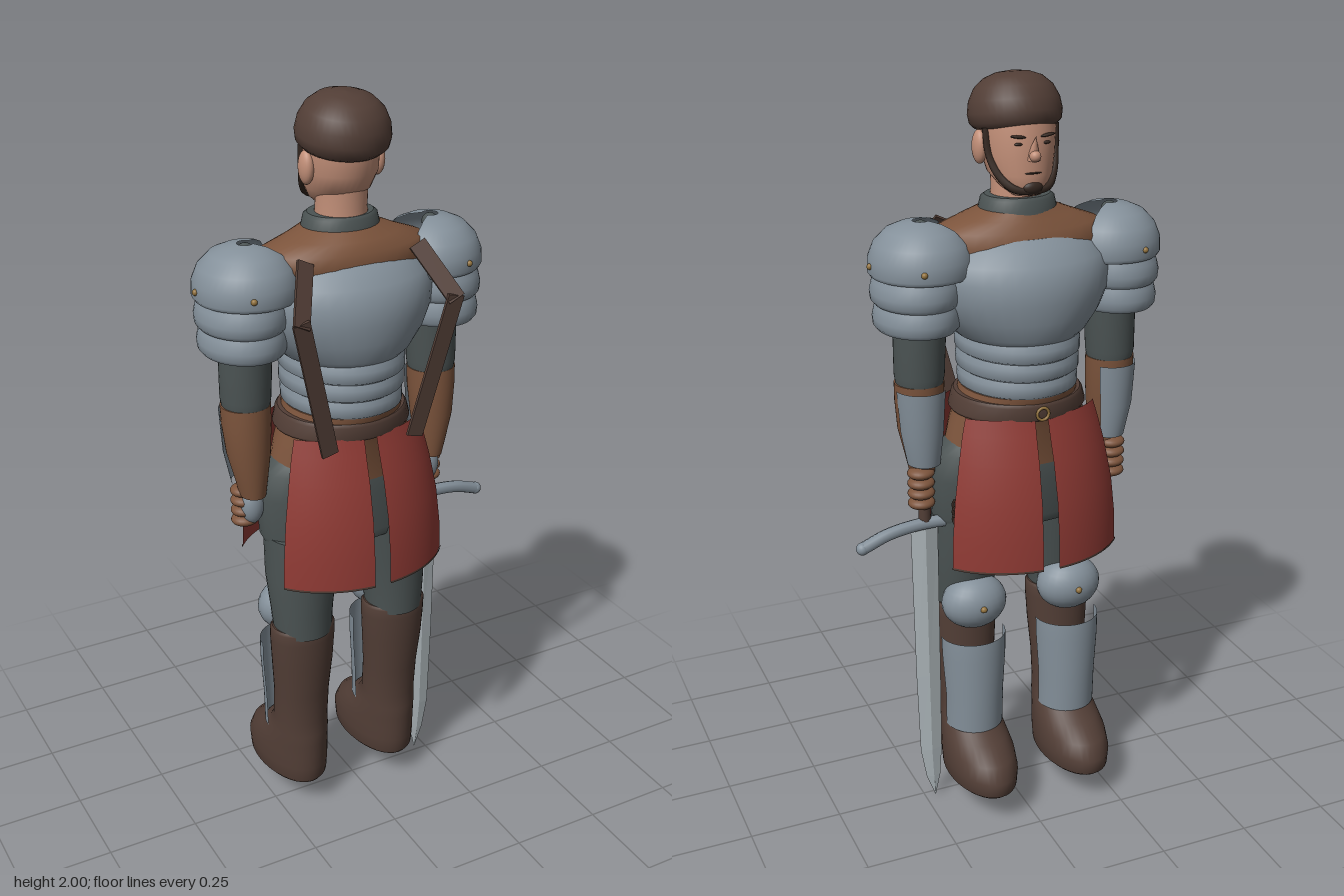
import * as THREE from 'three';

const mat = (name, color, side = THREE.FrontSide) => {
  const m = new THREE.MeshStandardMaterial({ color, side });
  m.name = name;
  return m;
};

export function createModel() {
  const D = THREE.DoubleSide;
  const steel = mat('steel', 0x84909a, D), red = mat('red cloth', 0x8f3a34, D);
  const darkLeather = mat('dark leather', 0x523e36, D), leather = mat('leather', 0x7c543c);
  const cloth = mat('dark cloth', 0x4b5353), skin = mat('skin', 0xc28f78);
  const blade = mat('blade', 0xb2bbbf), brass = mat('brass', 0x94743f), hair = mat('hair', 0x33261f);

  const root = new THREE.Group();
  root.name = 'armouredKnight';
  const body = new THREE.Group();
  body.name = 'body';
  body.position.x = -0.034;
  root.add(body);

  const add = (name, geo, m, pos = [0, 0, 0], scale = [1, 1, 1], rot = [0, 0, 0]) => {
    const mesh = new THREE.Mesh(geo, m);
    mesh.name = name;
    mesh.position.set(...pos);
    mesh.scale.set(...scale);
    mesh.rotation.set(...rot);
    body.add(mesh);
    return mesh;
  };

  // Skin elliptical rings [y, rx, rz, cx, cz], listed upwards; angle 0 faces the front (-z)
  const loft = (rings, { a0 = 0, a1 = Math.PI * 2, seg = 36, s = 1, flat = false } = {}) => {
    const closed = a1 - a0 > 6.28, n = closed ? seg : seg + 1;
    const [b0, b1] = s < 0 && !closed ? [-a1, -a0] : [a0, a1];
    const p = [], idx = [];
    const ring = ([y, rx, rz, cx = 0, cz = 0]) => {
      for (let i = 0; i < n; i++) {
        const a = b0 + (b1 - b0) * i / seg;
        p.push(s * cx + rx * Math.sin(a), y, cz - rz * Math.cos(a));
      }
    };
    rings.forEach(ring);
    for (let r = 0; r < rings.length - 1; r++) for (let i = 0; i < seg; i++) {
      const j = (i + 1) % n, a = r * n + i, b = r * n + j;
      idx.push(a, a + n, b, b, a + n, b + n);
    }
    if (closed) [rings[0], rings[rings.length - 1]].forEach((q, k) => {
      const o = p.length / 3;
      ring(q);
      p.push(s * (q[3] || 0), q[0], q[4] || 0);
      for (let i = 0; i < n; i++) {
        const j = (i + 1) % n;
        if (k) idx.push(o + n, o + j, o + i); else idx.push(o + n, o + i, o + j);
      }
    });
    let g = new THREE.BufferGeometry();
    g.setAttribute('position', new THREE.Float32BufferAttribute(p, 3));
    g.setIndex(idx);
    if (flat) g = g.toNonIndexed();
    g.computeVertexNormals();
    return g;
  };
  const ball = (r = 1) => new THREE.SphereGeometry(r, 24, 16);
  const tube = (pts, r) => new THREE.TubeGeometry(
    new THREE.CatmullRomCurve3(pts.map(q => new THREE.Vector3(...q))), 24, r, 8);

  // Head
  add('head', loft([[1.715, .035, .035, 0, -.052], [1.735, .06, .062, 0, -.038], [1.765, .08, .086, 0, -.014],
    [1.81, .09, .1, 0, 0], [1.87, .095, .1, 0, .003], [1.93, .088, .09, 0, .008]]), skin);
  add('neck', loft([[1.66, .07, .07, 0, .005], [1.72, .064, .064, 0, .005], [1.79, .064, .066, 0, .01]]), skin);
  add('collar', loft([[1.655, .105, .09], [1.675, .1, .085], [1.7, .094, .08], [1.707, .084, .072]]), cloth);
  // Cap with a rounded underside, tipped backwards
  const cap = new THREE.LatheGeometry([[.07, -.022], [.1, -.016], [.113, -.003], [.117, .02], [.112, .05], [.097, .08],
    [.072, .102], [.04, .114], [0, .118]].map(q => new THREE.Vector2(...q)), 40);
  add('cap', cap, darkLeather, [0, 1.882, .013], [1, 1, 1], [.17, 0, 0]);
  add('nose', new THREE.ConeGeometry(.018, .06, 12), skin, [0, 1.835, -.102], [1, 1, 1], [-.3, 0, 0]);
  add('noseTip', ball(.014), skin, [0, 1.815, -.107]);
  add('mouth', ball(), hair, [0, 1.773, -.096], [.022, .003, .006]);
  add('chinBeard', ball(), hair, [0, 1.737, -.092], [.026, .017, .014]);

  // Torso
  add('shoulders', loft([[1.45, .17, .13], [1.55, .215, .13], [1.6, .24, .128, 0, .005], [1.63, .218, .118, 0, .008],
    [1.655, .15, .102, 0, .008], [1.68, .09, .08]]), leather);
  add('breastplate', loft([[1.36, .16, .17], [1.375, .176, .184], [1.42, .212, .195], [1.47, .235, .2], [1.52, .24, .197],
    [1.56, .23, .177], [1.595, .195, .146], [1.615, .165, .118]]), steel);
  [[1.31, .158, .18], [1.262, .156, .175], [1.215, .153, .17]].forEach(([y, rx, rz]) =>
    add('waistPlate', loft([[y, rx - .012, rz - .012], [y + .008, rx, rz], [y + .035, rx, rz], [y + .06, rx - .012, rz - .012]]), steel));
  add('belly', loft([[1.02, .21, .122], [1.12, .186, .128], [1.2, .155, .158], [1.218, .15, .162]]), leather);
  add('belt', loft([[1.155, .178, .158], [1.162, .182, .162], [1.195, .172, .164], [1.203, .166, .158]]), darkLeather);
  add('buckle', new THREE.TorusGeometry(.016, .004, 8, 16), brass, [0, 1.178, -.166]);
  add('tunic', loft([[.845, .226, .112, 0, .008], [.87, .238, .12, 0, .006], [.98, .243, .122], [1.05, .228, .12], [1.085, .19, .105]]), cloth);
  // Cord coil hanging at the left hip
  for (let i = 0; i < 3; i++)
    add('cordCoil', new THREE.TorusGeometry(.017, .004, 8, 16), hair, [.2, .885 + i * .02, -.085], [1, 1, 1], [0, Math.PI / 2 + .6, 0]);

  // Skirt panels: two at the front, two at the back
  const skirt = [[.77, .28, .23], [.85, .277, .227], [.95, .266, .216], [1.05, .246, .193], [1.12, .228, .17], [1.165, .214, .157]];
  for (const turn of [0, Math.PI]) for (const s of [1, -1]) {
    const mid = turn + s * .535, arc = { a0: mid - .455, a1: mid + .455, seg: 16 };
    add('skirtPanel', loft(skirt, arc), red);
    add('skirtHem', loft([[.768, .282, .232], [.774, .282, .232]], arc), darkLeather);
  }

  for (const s of [1, -1]) {
    // Face halves: eyes, brows, ears, chin strap
    add('eye', ball(), hair, [s * .036, 1.843, -.09], [.011, .004, .005]);
    add('brow', ball(), hair, [s * .038, 1.861, -.092], [.021, .004, .007], [0, 0, s * .12]);
    add('ear', ball(), skin, [s * .096, 1.825, .01], [.018, .042, .026]);
    add('chinStrap', tube([[s * .092, 1.875, -.02], [s * .087, 1.81, -.03], [s * .073, 1.765, -.055],
      [s * .045, 1.735, -.083], [0, 1.727, -.092]], .01), hair);

    // Back strap of two flat lengths
    const pts = [[.155, 1.625, .115], [.21, 1.51, .203], [.122, 1.15, .17]];
    for (let i = 0; i < 2; i++) {
      const a = new THREE.Vector3(...pts[i]), b = new THREE.Vector3(...pts[i + 1]);
      a.x *= s; b.x *= s;
      const m = add('backStrap', new THREE.BoxGeometry(.045, .008, a.distanceTo(b) + .012), darkLeather);
      m.position.copy(a).add(b).multiplyScalar(.5);
      const z = b.clone().sub(a).normalize();
      const y = new THREE.Vector3(0, 0, 1).addScaledVector(z, -z.z).normalize();
      const x = new THREE.Vector3().crossVectors(y, z);
      m.quaternion.setFromRotationMatrix(new THREE.Matrix4().makeBasis(x, y, z));
    }

    // Pauldron: dome open towards the neck, two bands below
    const open = { a0: -Math.PI / 2 + .7, a1: Math.PI * 1.5 - .7, s };
    add('pauldronDome', loft([[1.53, .126, .13, .256], [1.54, .133, .136, .256], [1.575, .131, .135, .256], [1.61, .117, .12, .256],
      [1.64, .088, .09, .256], [1.655, .054, .056, .256], [1.661, .02, .02, .256]], open), steel);
    add('shoulderPeg', ball(.021), cloth, [s * .256, 1.641, 0]);
    [[1.46, .111, .13], [1.395, .106, .126]].forEach(([y, rx, rz]) =>
      add('pauldronBand', loft([[y, rx - .008, rz - .008, .272], [y + .01, rx, rz, .272], [y + .03, rx + .002, rz + .002, .272],
        [y + .055, rx - .002, rz - .002, .27], [y + .08, rx - .014, rz - .014, .268]], { s }), steel));
    [[.388, 0], [.295, .129], [.295, -.129]].forEach(([x, z]) => add('rivet', ball(.008), brass, [s * x, 1.56, z]));

    // Arm
    add('upperArm', loft([[1.245, .06, .063, .268], [1.27, .064, .067, .268], [1.35, .066, .068, .266], [1.56, .07, .075, .26]], { s }), cloth);
    add('forearm', loft([[1.0, .033, .04, .262, .012], [1.04, .04, .046, .264, .012], [1.12, .056, .058, .268, .008],
      [1.2, .063, .064, .269, .002], [1.25, .064, .064, .269]], { s }), leather);
    add('vambrace', loft([[1.03, .044, .05, .264, -.006], [1.12, .058, .061, .268, -.009], [1.235, .066, .068, .268, -.007]],
      { a0: -.9, a1: 1.5, seg: 20, s }), steel);
    add('palm', ball(), steel, [s * .262, .965, .008], [.03, .05, .026]);
    for (let i = 0; i < 4; i++)
      add('finger', ball(), leather, [s * .275, .92 + i * .028, -.014], [.036, .017, .034]);

    // Leg
    add('thigh', loft([[.58, .078, .078, .14, .04], [.65, .084, .083, .14, .036], [.75, .095, .098, .136, .026],
      [.87, .104, .11, .125, .02]], { s }), cloth);
    add('boot', loft([[.09, .082, .15, .14, -.065], [.1, .091, .16, .14, -.067], [.14, .094, .163, .14, -.067], [.18, .092, .15, .14, -.054],
      [.215, .086, .122, .14, -.026], [.25, .079, .092, .14, .004], [.29, .075, .073, .14, .018], [.38, .077, .07, .14, .026],
      [.48, .085, .074, .14, .034], [.56, .09, .075, .14, .037], [.59, .09, .075, .14, .038], [.598, .084, .07, .14, .038]], { s }), darkLeather);
    add('greave', loft([[.24, .08, .082, .14, -.028], [.34, .081, .082, .14, -.03], [.46, .089, .085, .14, -.028], [.515, .09, .084, .14, -.026]],
      { a0: -1.6, a1: 1.6, seg: 24, s }), steel);
    add('kneeCop', ball(), steel, [s * .14, .615, -.038], [.09, .075, .071]);
    add('kneeRivet', ball(.009), brass, [s * .14, .62, -.108]);
  }

  // Sword held point down in the left hand
  add('swordBlade', loft([[.005, .001, .001, .254, -.016], [.07, .02, .005, .259, -.016], [.16, .031, .008, .264, -.016],
    [.4, .035, .009, .267, -.016], [.85, .038, .011, .27, -.016]], { seg: 4, flat: true }), blade);
  add('swordGuard', tube([[.1, .825, -.02], [.18, .855, -.02], [.268, .86, -.018], [.37, .85, -.024], [.445, .825, -.03]], .017), steel);
  [[.1, -.02], [.445, -.03]].forEach(([x, z]) => add('guardEnd', ball(.017), steel, [x, .825, z]));
  add('swordGrip', new THREE.CylinderGeometry(.016, .016, .18, 16), darkLeather, [.268, .945, -.016]);

  return root;
}
